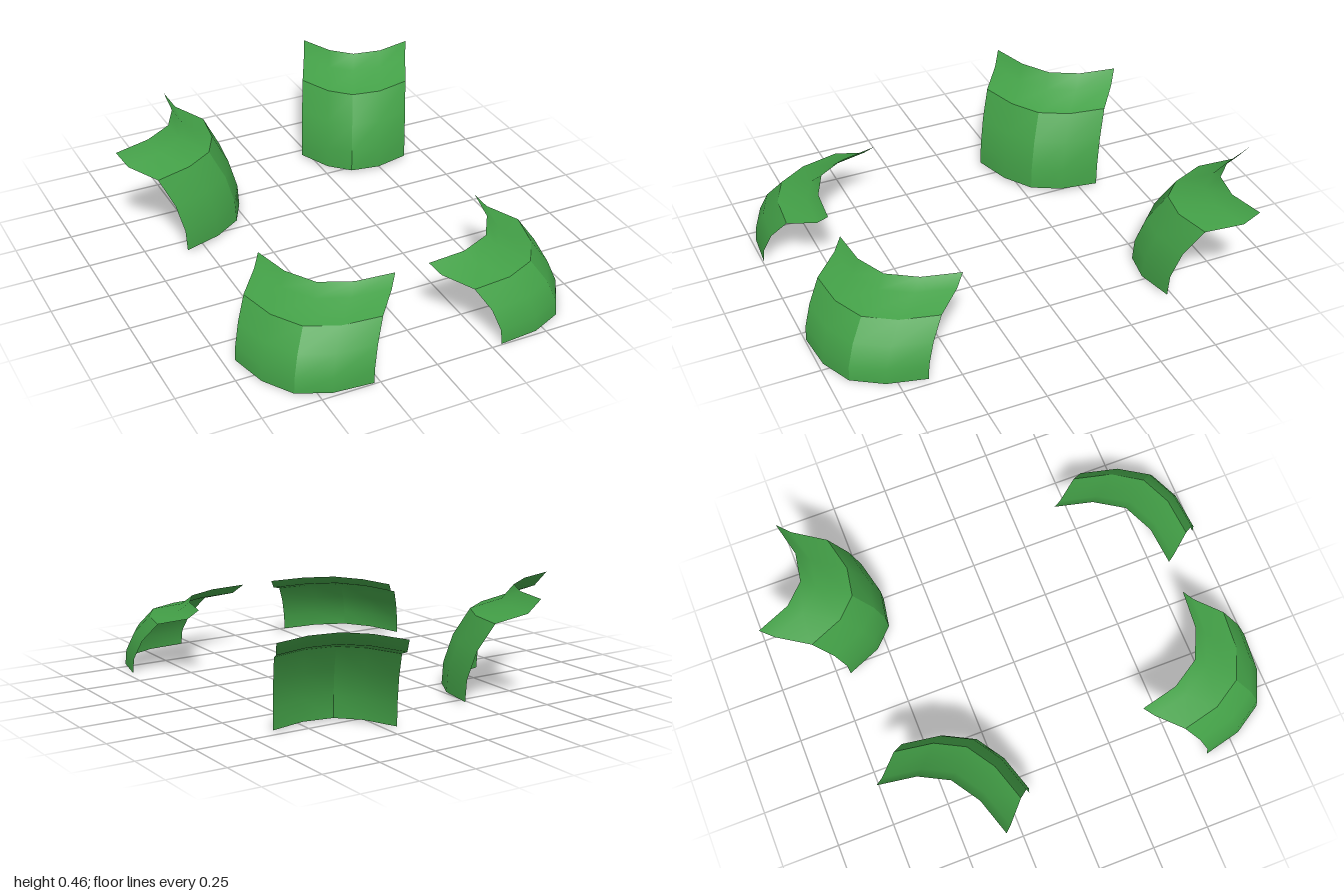
import * as THREE from 'three';

// Shared bent profile: [inward travel 0..1, height 0..1]; row 3 is the sharp fold
const profile = [[0, 0], [0.02, 0.215], [0.15, 0.49], [0.39, 0.755], [0.83, 0.86], [1, 1]];

// Smooth open patch between the given columns and rows of a panel
function patch(name, material, panel, [c0, c1], [r0, r1]) {
  const { base, lean, y0, y1 } = panel;
  const pos = [], idx = [];
  const w = r1 - r0 + 1;
  for (let c = c0; c <= c1; c++) {
    for (let r = r0; r <= r1; r++) {
      const [t, h] = profile[r];
      pos.push(base[c][0] + lean[0] * t, y0 + (y1 - y0) * h, base[c][1] + lean[1] * t);
    }
  }
  for (let c = 0; c < c1 - c0; c++) {
    for (let r = 0; r < w - 1; r++) {
      const a = c * w + r, b = a + w;
      idx.push(a, b, b + 1, a, b + 1, a + 1);
    }
  }
  const geo = new THREE.BufferGeometry();
  geo.setAttribute('position', new THREE.Float32BufferAttribute(pos, 3));
  geo.setIndex(idx);
  geo.computeVertexNormals();
  const mesh = new THREE.Mesh(geo, material);
  mesh.name = name;
  return mesh;
}

export function createModel() {
  const green = new THREE.MeshStandardMaterial({ color: 0x43a047, side: THREE.DoubleSide });
  green.name = 'leafGreen';

  // Ground curve of the front left panel, mirrored about x = 0.01 for the right one
  const frontBase = [[0.295, 0.995], [0.465, 0.98], [0.6, 0.92], [0.68, 0.795], [0.72, 0.63]];
  const mirrored = frontBase.map(([x, z]) => [0.02 - x, z]).reverse();

  const panels = [
    { name: 'frontLeftPanel', base: frontBase, lean: [-0.21, -0.238], y0: 0, y1: 0.305 },
    { name: 'frontRightPanel', base: mirrored, lean: [0.21, -0.238], y0: 0, y1: 0.305 },
    {
      name: 'backLeftPanel', lean: [0.16, -0.307], y0: 0.01, y1: 0.446,
      base: [[0.212, -0.693], [0.275, -0.545], [0.36, -0.46], [0.49, -0.438], [0.646, -0.474]],
    },
    {
      name: 'backRightPanel', lean: [-0.228, -0.192], y0: 0.014, y1: 0.457,
      base: [[-0.585, -0.158], [-0.422, -0.208], [-0.3, -0.287], [-0.235, -0.41], [-0.21, -0.575]],
    },
  ];

  const model = new THREE.Group();
  model.name = 'curvedPanels';
  for (const p of panels) {
    const g = new THREE.Group();
    g.name = p.name;
    // The wall has a sharp central ridge; the lip above the fold is smooth
    g.add(
      patch('wallFirstHalf', green, p, [0, 2], [0, 3]),
      patch('wallSecondHalf', green, p, [2, 4], [0, 3]),
      patch('lip', green, p, [0, 4], [3, 5]),
    );
    model.add(g);
  }
  return model;
}
